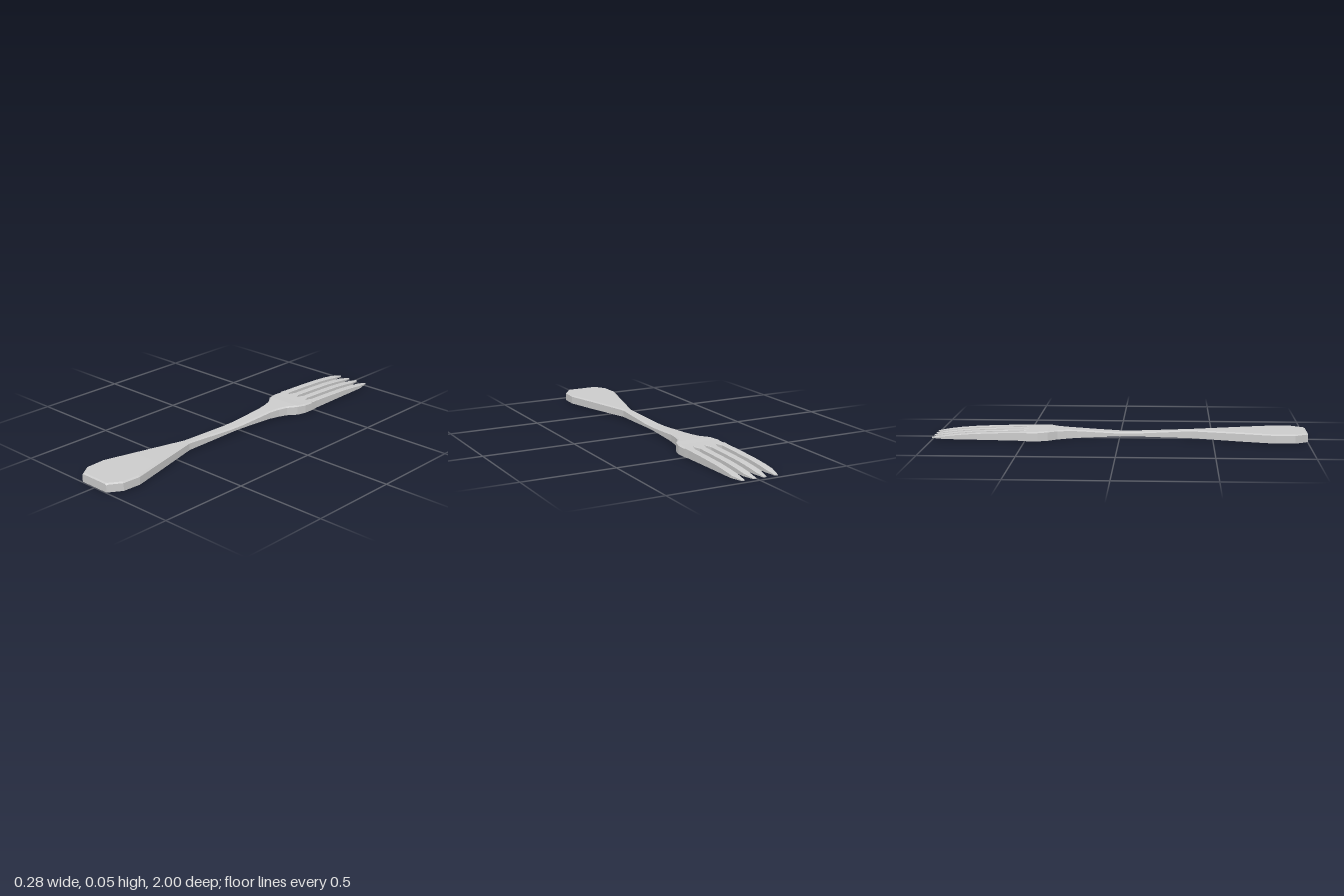
import * as THREE from 'three';

const material = new THREE.MeshStandardMaterial({
  color: 0xcccccc, flatShading: true, side: THREE.DoubleSide,
});

// Six-sided cross-section with its two top edges bevelled
function ring([z, xl, xr, yb, yt], bevel) {
  const bx = Math.min(bevel, (xr - xl) * 0.3);
  const by = Math.min(bevel * 0.6, (yt - yb) * 0.3);
  return [
    [xl, yb, z], [xr, yb, z], [xr, yt - by, z],
    [xr - bx, yt, z], [xl + bx, yt, z], [xl, yt - by, z],
  ];
}

// Closed solid through sections [z, left x, right x, bottom y, top y], from +z to -z
function loft(name, sections, bevel) {
  const n = 6, last = (sections.length - 1) * n, index = [];
  const points = sections.flatMap((s) => ring(s, bevel));
  for (let i = 0; i < last; i += n) {
    for (let k = 0; k < n; k++) {
      const a = i + k, b = i + (k + 1) % n;
      index.push(a, a + n, b + n, a, b + n, b);
    }
  }
  for (let k = 1; k < n - 1; k++) {
    index.push(0, k, k + 1, last, last + k + 1, last + k);
  }
  const indexed = new THREE.BufferGeometry();
  indexed.setAttribute('position', new THREE.Float32BufferAttribute(points.flat(), 3));
  indexed.setIndex(index);
  const geometry = indexed.toNonIndexed();
  geometry.computeVertexNormals();
  const mesh = new THREE.Mesh(geometry, material);
  mesh.name = name;
  return mesh;
}

// Symmetrical section from a half width
const even = ([z, w, yb, yt]) => [z, -w, w, yb, yt];

export function createModel() {
  const fork = new THREE.Group();
  fork.name = 'fork';

  // Paddle-shaped handle narrowing into the thin neck
  fork.add(loft('handle', [
    [1.0, 0.088, 0.003, 0.046], [0.99, 0.094, 0.003, 0.05],
    [0.93, 0.134, 0.003, 0.05], [0.83, 0.139, 0.003, 0.05],
    [0.66, 0.095, 0.003, 0.05], [0.38, 0.024, 0.006, 0.049],
    [0.2, 0.03, 0.011, 0.041], [0.08, 0.034, 0.015, 0.036],
    [0.0, 0.036, 0.015, 0.036], [-0.1, 0.039, 0.011, 0.041],
    [-0.22, 0.043, 0.006, 0.048],
  ].map(even), 0.01));

  // Shouldered head
  fork.add(loft('head', [
    [-0.22, 0.043, 0.006, 0.048], [-0.28, 0.053, 0.003, 0.05],
    [-0.33, 0.068, 0.001, 0.051], [-0.38, 0.104, 0, 0.052],
    [-0.43, 0.118, 0, 0.05], [-0.49, 0.118, 0, 0.048],
  ].map(even), 0.01));

  // Four tines, mirrored in pairs; roots meet to form the notches
  const tines = new THREE.Group();
  tines.name = 'tines';
  const pairs = [
    { name: 'innerTine', root: [0, 0.065], shaft: [0.014, 0.05], tip: [0.02, 0.036] },
    { name: 'outerTine', root: [0.065, 0.118], shaft: [0.078, 0.116], tip: [0.084, 0.1] },
  ];
  for (const { name, root, shaft, tip } of pairs) {
    for (const side of [1, -1]) {
      const at = (z, [a, b], yb, yt) =>
        side > 0 ? [z, a, b, yb, yt] : [z, -b, -a, yb, yt];
      tines.add(loft(side > 0 ? name + 'Left' : name + 'Right', [
        at(-0.49, root, 0, 0.048),
        at(-0.53, shaft, 0.002, 0.047),
        at(-0.65, shaft, 0.004, 0.044),
        at(-0.78, shaft, 0.006, 0.039),
        at(-0.87, shaft, 0.007, 0.032),
        at(-0.93, shaft, 0.008, 0.025),
        at(-1.0, tip, 0.01, 0.015),
      ], 0.004));
    }
  }
  fork.add(tines);
  return fork;
}
